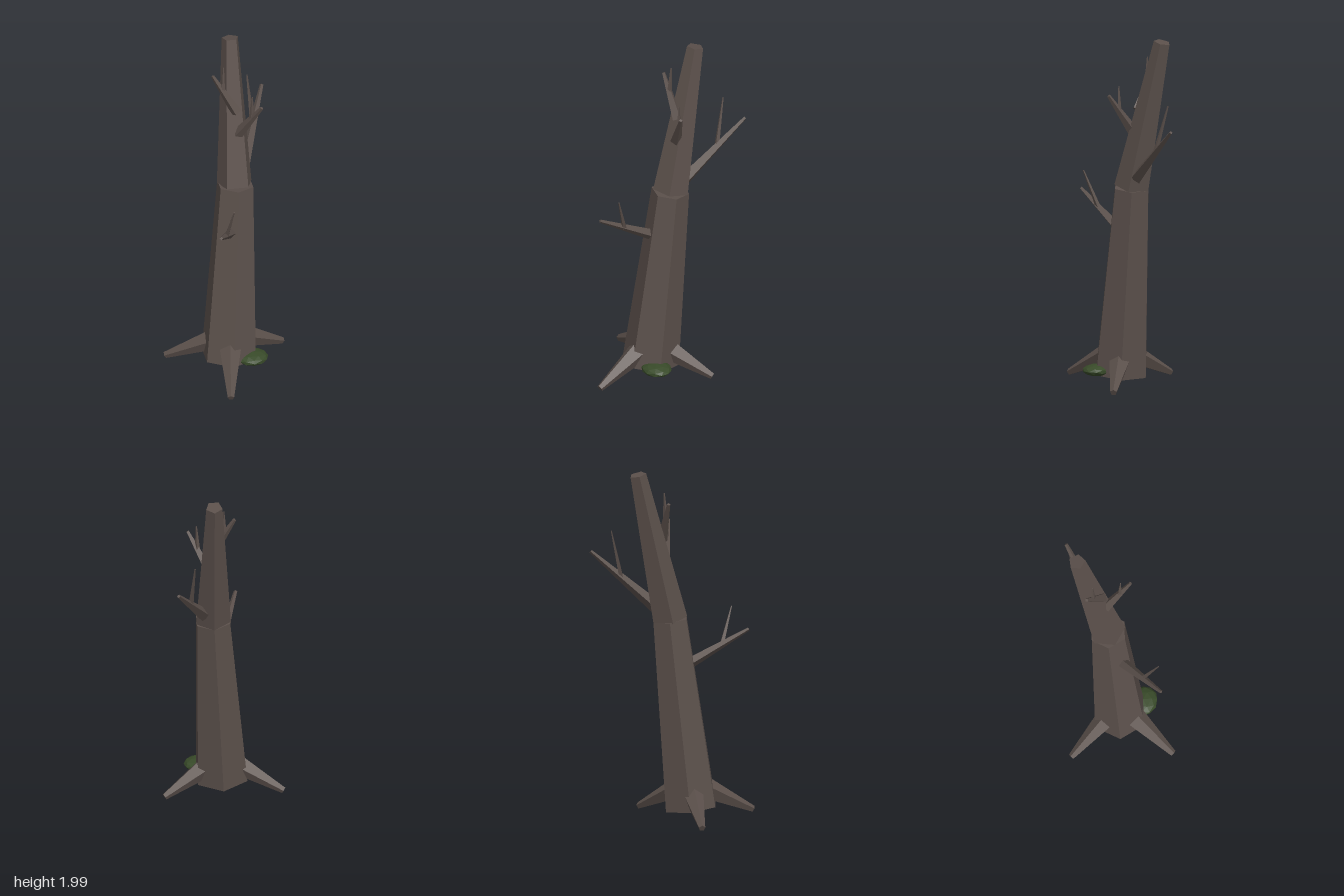
import * as THREE from 'three';

const bark = new THREE.MeshStandardMaterial({ color: 0x5b504b, flatShading: true });
bark.name = 'bark';
const moss = new THREE.MeshStandardMaterial({ color: 0x384a29, flatShading: true });
moss.name = 'moss';

const UP = new THREE.Vector3(0, 1, 0);
const FRONT = new THREE.Vector3(0, 0, 1);

// Tapered faceted limb from a to b; its first ridge faces the ref direction
function limb(name, a, b, r0, r1, sides, ref = UP, turn = 0) {
  const start = new THREE.Vector3(...a);
  const end = new THREE.Vector3(...b);
  const axis = end.clone().sub(start);
  const geo = new THREE.CylinderGeometry(r1, r0, axis.length(), sides, 1, false, turn);
  const y = axis.normalize();
  const x = new THREE.Vector3().crossVectors(y, ref).normalize();
  const z = new THREE.Vector3().crossVectors(x, y);
  geo.applyMatrix4(new THREE.Matrix4().makeBasis(x, y, z));
  const mesh = new THREE.Mesh(geo, bark);
  mesh.name = name;
  mesh.position.copy(start).add(end).multiplyScalar(0.5);
  return mesh;
}

export function createModel() {
  const tree = new THREE.Group();
  tree.name = 'deadTree';

  // Trunk: a wide hexagonal lower piece and a leaning pentagonal upper piece
  tree.add(limb('lowerTrunk', [0.005, 0.065, 0.056], [0.06, 1.14, -0.046], 0.16, 0.107, 6, FRONT));
  tree.add(limb('upperTrunk', [0.06, 1.14, -0.05], [0.068, 1.988, -0.248], 0.103, 0.048, 5, FRONT, Math.PI));

  // Roots
  const roots = [
    ['leftRoot', [0.07, 0.165, 0.02], [0.335, 0.022, -0.09]],
    ['rightRoot', [-0.04, 0.175, 0.035], [-0.335, 0.022, -0.065]],
    ['frontRoot', [0.0, 0.17, 0.13], [-0.05, 0.022, 0.425]],
  ];
  for (const [name, a, b] of roots) tree.add(limb(name, a, b, 0.067, 0.019, 5));

  // Branches, each with one thin twig
  const branches = [
    ['frontBranch', [0.015, 0.89, 0.07], [-0.095, 1.067, 0.373], 0.031, 0.01, [-0.04, 0.98, 0.23], [-0.01, 1.19, 0.31]],
    ['backBranch', [0.115, 1.21, -0.11], [0.28, 1.528, -0.43], 0.038, 0.01, [0.2, 1.38, -0.28], [0.182, 1.655, -0.353]],
    ['leftBranch', [0.08, 1.46, -0.07], [0.198, 1.678, 0.023], 0.032, 0.01, [0.145, 1.58, -0.018], [0.152, 1.73, -0.016]],
    ['rightBranch', [0.075, 1.59, -0.09], [-0.055, 1.828, -0.12], 0.032, 0.01, [0, 1.72, -0.107], [0.005, 1.88, -0.115]],
  ];
  for (const [name, a, b, r0, r1, c, d] of branches) {
    const group = new THREE.Group();
    group.name = name;
    group.add(limb(name + 'Limb', a, b, r0, r1, 4));
    group.add(limb(name + 'Twig', c, d, 0.015, 0.004, 4));
    tree.add(group);
  }

  // Flattened moss clump at the foot
  const clump = new THREE.Mesh(new THREE.IcosahedronGeometry(1, 1), moss);
  clump.name = 'mossClump';
  clump.scale.set(0.09, 0.033, 0.08);
  clump.position.set(0.122, 0.092, 0.143);
  tree.add(clump);

  return tree;
}
